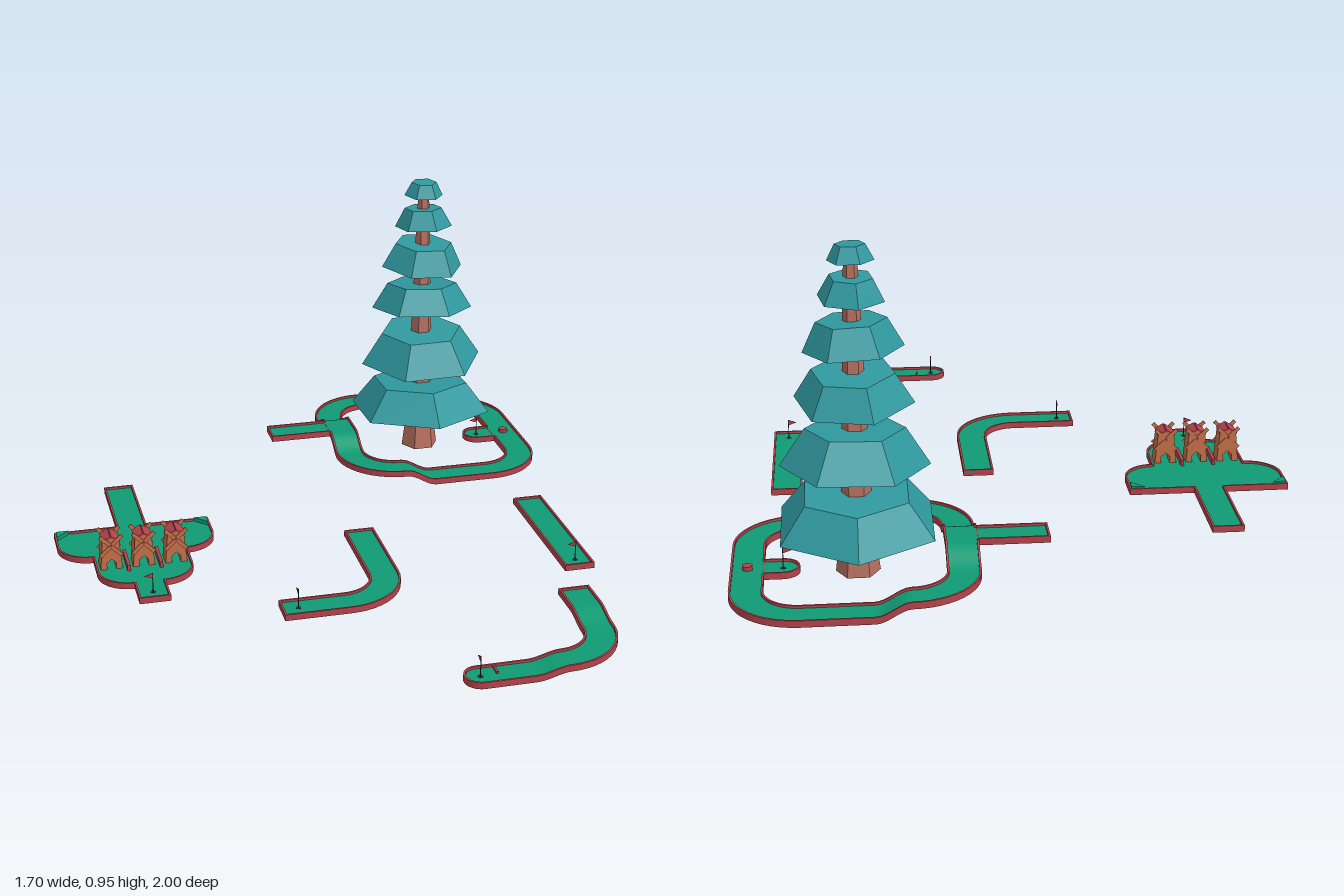
import * as THREE from 'three';
import { toCreasedNormals } from 'three/addons/utils/BufferGeometryUtils.js';

const W = 0.0475, WALL = 0.006, FLOOR = 0.0125, TOP = 0.02;
const mat = (color, flatShading = false) => new THREE.MeshStandardMaterial({ color, flatShading });
const red = mat(0xb5434c), green = mat(0x0f9b73), bark = mat(0xb87060, true), leaf = mat(0x2f999f, true);
const wood = mat(0xc47048, true), dark = mat(0x26382f);
const smooth = THREE.MathUtils.smoothstep;

function add(parent, name, geometry, material, x = 0, y = 0, z = 0) {
  const m = new THREE.Mesh(geometry, material);
  m.name = name;
  m.position.set(x, y, z);
  parent.add(m);
  return m;
}
const box = (parent, name, material, w, h, d, x, y, z) =>
  add(parent, name, new THREE.BoxGeometry(w, h, d), material, x, y, z);

// centre line with rounded right-angle corners, as [x, z, tangentX, tangentZ]
function centreLine(corners, r = 0.15) {
  const out = [];
  const pts = corners.map(c => new THREE.Vector2(...c));
  let from = pts[0];
  for (let i = 1; i < pts.length; i++) {
    const d = pts[i].clone().sub(pts[i - 1]).normalize();
    const last = i === pts.length - 1;
    const to = last ? pts[i] : pts[i].clone().addScaledVector(d, -r);
    for (let k = 0; k <= 24; k++) {
      const p = from.clone().lerp(to, k / 24);
      out.push([p.x, p.y, d.x, d.y]);
    }
    if (last) break;
    const e = pts[i + 1].clone().sub(pts[i]).normalize();
    const c = to.clone().addScaledVector(e, r);
    for (let k = 1; k < 12; k++) {
      const a = k / 12 * Math.PI / 2, s = Math.sin(a), q = Math.cos(a);
      out.push([c.x + r * (d.x * s - e.x * q), c.y + r * (d.y * s - e.y * q), d.x * q + e.x * s, d.y * q + e.y * s]);
    }
    from = c.clone().addScaledVector(d, r);
  }
  return out;
}

// rectangular section swept along a centre line, following the height rule
function sweep(line, height, u0, u1, v0, v1) {
  const pos = [], index = [];
  const section = [[u0, v0], [u1, v0], [u1, v1], [u0, v1]];
  line.forEach(([x, z, tx, tz], i) => {
    for (const [u, v] of section) pos.push(x - tz * u, height(x, z) + v, z + tx * u);
    if (!i) return;
    for (let a = 0; a < 4; a++) {
      const b = (a + 1) % 4, p = (i - 1) * 4, q = i * 4;
      index.push(p + a, q + a, q + b, p + a, q + b, p + b);
    }
  });
  const n = (line.length - 1) * 4;
  index.push(0, 1, 2, 0, 2, 3, n, n + 2, n + 1, n, n + 3, n + 2);
  const g = new THREE.BufferGeometry();
  g.setAttribute('position', new THREE.Float32BufferAttribute(pos, 3));
  g.setIndex(index);
  return toCreasedNormals(g, 0.5);
}

// trough of base, floor, side walls and optional end walls
function lane(parent, corners, { height = () => 0, left = true, right = true, start = false, end = false } = {}) {
  const line = centreLine(corners);
  add(parent, 'laneBase', sweep(line, height, -W, W, 0, FLOOR - 0.001), red);
  add(parent, 'laneFloor', sweep(line, height, -W + WALL / 2, W - WALL / 2, FLOOR - 0.001, FLOOR), green);
  if (left) add(parent, 'leftWall', sweep(line, height, -W, -W + WALL, 0, TOP), red);
  if (right) add(parent, 'rightWall', sweep(line, height, W - WALL, W, 0, TOP), red);
  const cap = ([x, z, tx, tz], s) => {
    const m = box(parent, 'endWall', red, 2 * W, TOP, WALL, x + s * tx * WALL / 2, height(x, z) + TOP / 2, z + s * tz * WALL / 2);
    m.rotation.y = Math.atan2(tx, tz);
  };
  if (start) cap(line[0], 1);
  if (end) cap(line[line.length - 1], -1);
}

// flat trough from an outline that can be inset
function tray(parent, outline, x, z) {
  const slab = (shape, depth) =>
    new THREE.ExtrudeGeometry(shape, { depth, bevelEnabled: false, curveSegments: 12 }).rotateX(Math.PI / 2);
  add(parent, 'trayBase', slab(outline(0), FLOOR - 0.001), red, x, FLOOR - 0.001, z);
  add(parent, 'trayFloor', slab(outline(0.003), 0.001), green, x, FLOOR, z);
  const rim = outline(0);
  rim.holes.push(outline(WALL));
  add(parent, 'trayWall', slab(rim, TOP), red, x, TOP, z);
}

// rounded lane end, opening to +x
function roundEnd(parent, x, z) {
  const arc = (d, x1) => {
    const s = new THREE.Shape();
    s.moveTo(x1, W - d);
    s.absarc(0, 0, W - d, Math.PI / 2, Math.PI * 1.5, false);
    s.lineTo(x1, -W + d);
    return s;
  };
  const ring = new THREE.Shape();
  ring.absarc(0, 0, W, Math.PI / 2, Math.PI * 1.5, false);
  ring.absarc(0, 0, W - WALL, Math.PI * 1.5, Math.PI / 2, true);
  const slab = (s, depth) => new THREE.ExtrudeGeometry(s, { depth, bevelEnabled: false }).rotateX(Math.PI / 2);
  add(parent, 'roundBase', slab(arc(0, 0.0), FLOOR - 0.001), red, x, FLOOR - 0.001, z);
  add(parent, 'roundFloor', slab(arc(0.003, 0.0), 0.001), green, x, FLOOR, z);
  add(parent, 'roundWall', slab(ring, TOP), red, x, TOP, z);
}

// cup, pole and pennant; turn is the pennant direction about y
function flag(parent, x, z, turn) {
  const g = new THREE.Group();
  g.name = 'flag';
  g.position.set(x, FLOOR, z);
  g.rotation.y = turn;
  add(g, 'cup', new THREE.CylinderGeometry(0.008, 0.008, 0.001, 12), dark, 0, 0.0005, 0);
  add(g, 'pole', new THREE.CylinderGeometry(0.0015, 0.0015, 0.063, 6), dark, 0, 0.0315, 0);
  const s = new THREE.Shape([[0, 0.045], [0.025, 0.054], [0, 0.063]].map(p => new THREE.Vector2(...p)));
  add(g, 'pennant', new THREE.ExtrudeGeometry(s, { depth: 0.002, bevelEnabled: false }), red, 0, 0, -0.001);
  parent.add(g);
}

function windmill(parent, x, z) {
  const g = new THREE.Group();
  g.name = 'windmill';
  g.position.set(x, FLOOR, z);
  const s = new THREE.Shape([[-0.034, 0], [-0.014, 0], [-0.014, 0.022], [0, 0.034], [0.014, 0.022], [0.014, 0],
    [0.034, 0], [0.026, 0.092], [0, 0.108], [-0.026, 0.092]].map(p => new THREE.Vector2(...p)));
  add(g, 'millBody', new THREE.ExtrudeGeometry(s, { depth: 0.056, bevelEnabled: false }), wood, 0, 0, -0.028);
  for (const side of [-1, 1]) {
    box(g, 'millRoof', red, 0.031, 0.005, 0.064, side * 0.0135, 0.102, 0).rotation.z = -side * 0.55;
    for (const a of [-1, 1])
      box(g, 'millBlades', wood, 0.012, 0.094, 0.003, 0, 0.08, side * 0.031).rotation.z = a * Math.PI / 4;
    const hub = add(g, 'millHub', new THREE.CylinderGeometry(0.005, 0.005, 0.005, 8), red, 0, 0.08, side * 0.033);
    hub.rotation.x = Math.PI / 2;
  }
  parent.add(g);
}

function tree(parent, x, z) {
  const g = new THREE.Group();
  g.name = 'tree';
  g.position.set(x, 0, z);
  const profile = [[0.0001, 0], [0.063, 0], [0.045, 0.14], [0.041, 0.3], [0.034, 0.47], [0.029, 0.62], [0.025, 0.77], [0.018, 0.93]];
  add(g, 'trunk', new THREE.LatheGeometry(profile.map(p => new THREE.Vector2(...p)), 6), bark).rotation.y = Math.PI / 6;
  // hollow spout on the trunk
  const square = r => [[-r, -r], [r, -r], [r, r], [-r, r]].map(p => new THREE.Vector2(...p));
  const s = new THREE.Shape(square(0.023));
  s.holes.push(new THREE.Path(square(0.013)));
  add(g, 'spout', new THREE.ExtrudeGeometry(s, { depth: 0.06, bevelEnabled: false }), bark, 0.033, 0.092, 0).rotation.y = Math.PI / 2;
  // bottom, top, bottom radius, top radius, turn, tilt x, tilt z
  const tiers = [
    [0.14, 0.24, 0.245, 0.165, 0, -0.06, 0], [0.32, 0.427, 0.21, 0.14, 0.52, 0.05, 0.02],
    [0.51, 0.595, 0.17, 0.118, 0.3, -0.11, -0.02], [0.658, 0.74, 0.14, 0.098, 0.52, 0.04, -0.05],
    [0.8, 0.863, 0.096, 0.062, 0.2, -0.06, 0.02], [0.908, 0.953, 0.065, 0.042, 0.4, 0.03, -0.02]];
  for (const [y0, y1, r0, r1, turn, tx, tz] of tiers) {
    const m = add(g, 'foliageTier', new THREE.CylinderGeometry(r1, r0, y1 - y0, 6).rotateY(turn), leaf, 0, (y0 + y1) / 2, 0);
    m.rotation.set(tx, 0, tz);
  }
  parent.add(g);
}

export function createModel() {
  const model = new THREE.Group();
  const course = name => {
    const g = new THREE.Group();
    g.name = name;
    model.add(g);
    return g;
  };

  // raised loop around the tree
  const loop = course('treeCourse');
  const height = (x, z) => 0.04 * (1 - smooth(x, 0.35, 0.45)) +
    (x < 0.25 ? 0.04 * (1 - smooth(Math.abs(z + 0.65), 0.05, 0.15)) : 0);
  const z0 = -0.65 - W, z1 = -0.65 + W;
  lane(loop, [[0.2, z1], [0.2, z0]], { height, left: false });
  lane(loop, [[0.2, z0], [0.2, -0.95], [0.8, -0.95], [0.8, z0]], { height });
  lane(loop, [[0.8, z0], [0.8, z1]], { height, right: false });
  lane(loop, [[0.8, z1], [0.8, -0.35], [0.2, -0.35], [0.2, z1]], { height });
  lane(loop, [[-0.05, -0.65], [0.2 - W, -0.65]], { height: () => 0.08, start: true });
  lane(loop, [[0.8 - W, -0.65], [0.7, -0.65]]);
  roundEnd(loop, 0.7, -0.65);
  flag(loop, 0.7, -0.65, Math.PI);
  add(loop, 'bumperPost', new THREE.CylinderGeometry(0.016, 0.016, 0.012, 6), red, 0.8, FLOOR + 0.006, -0.65);
  tree(loop, 0.49, -0.655);

  // straight and bent courses
  const straight = course('straightCourse');
  lane(straight, [[0.7, -0.1], [0.7, 0.395]], { start: true, end: true });
  flag(straight, 0.7, 0.35, Math.PI);
  const bend = course('bentCourse');
  lane(bend, [[0.1, 0], [0.1, 0.45], [-0.25, 0.45]], { start: true, end: true });
  flag(bend, -0.2, 0.45, Math.PI / 2);

  // stepped course with a round end
  const stepped = course('steppedCourse');
  lane(stepped, [[0.6, 0.6], [0.6, 0.95], [0.2, 0.95]], {
    height: (x, z) => 0.02 * smooth(x, 0.35, 0.45) + 0.02 * (1 - smooth(z, 0.7, 0.8)), start: true });
  roundEnd(stepped, 0.2, 0.95);
  box(stepped, 'divider', red, WALL, TOP, 0.045, 0.25, TOP / 2, 0.925);
  flag(stepped, 0.2, 0.95, Math.PI / 2);

  // wide course with windmills
  const wide = course('windmillCourse');
  tray(wide, d => {
    const s = new THREE.Shape();
    const a = W - d, b = 0.1475, r = 0.1 - d;
    s.moveTo(-a, -0.5 + d).lineTo(a, -0.5 + d).lineTo(a, -0.2 + d).lineTo(b + r, -0.2 + d);
    s.absarc(b, -0.1025, r, 0, Math.PI / 2, false);
    s.lineTo(b - d, -0.0025 - d);
    s.absarc(W, 0.095, r, 0, Math.PI / 2, false);
    s.lineTo(a, 0.195 - d).lineTo(a, 0.295 - d).lineTo(-a, 0.295 - d).lineTo(-a, 0.195 - d);
    s.absarc(-W, 0.095, r, Math.PI / 2, Math.PI, false);
    s.lineTo(-b + d, -0.0025 - d);
    s.absarc(-b, -0.1025, r, Math.PI / 2, Math.PI, false);
    s.lineTo(-b - r, -0.2 + d).lineTo(-a, -0.2 + d);
    return s;
  }, -0.6, 0);
  for (const x of [-0.7, -0.6, -0.5]) windmill(wide, x, 0.048);
  for (const side of [-1, 1]) {
    box(wide, 'laneDivider', red, 0.01, 0.024, 0.11, -0.6 + side * 0.05, 0.02, 0.045);
    // corner bumpers
    const s = new THREE.Shape([[0, 0], [0.04, 0], [0, 0.04]].map(p => new THREE.Vector2(side * p[0], p[1])));
    add(wide, 'cornerBumper', new THREE.ExtrudeGeometry(s, { depth: 0.014, bevelEnabled: false }).rotateX(Math.PI / 2),
      green, -0.6 - side * 0.2415, FLOOR + 0.013, -0.194);
  }
  flag(wide, -0.6, 0.25, Math.PI);
  return model;
}
